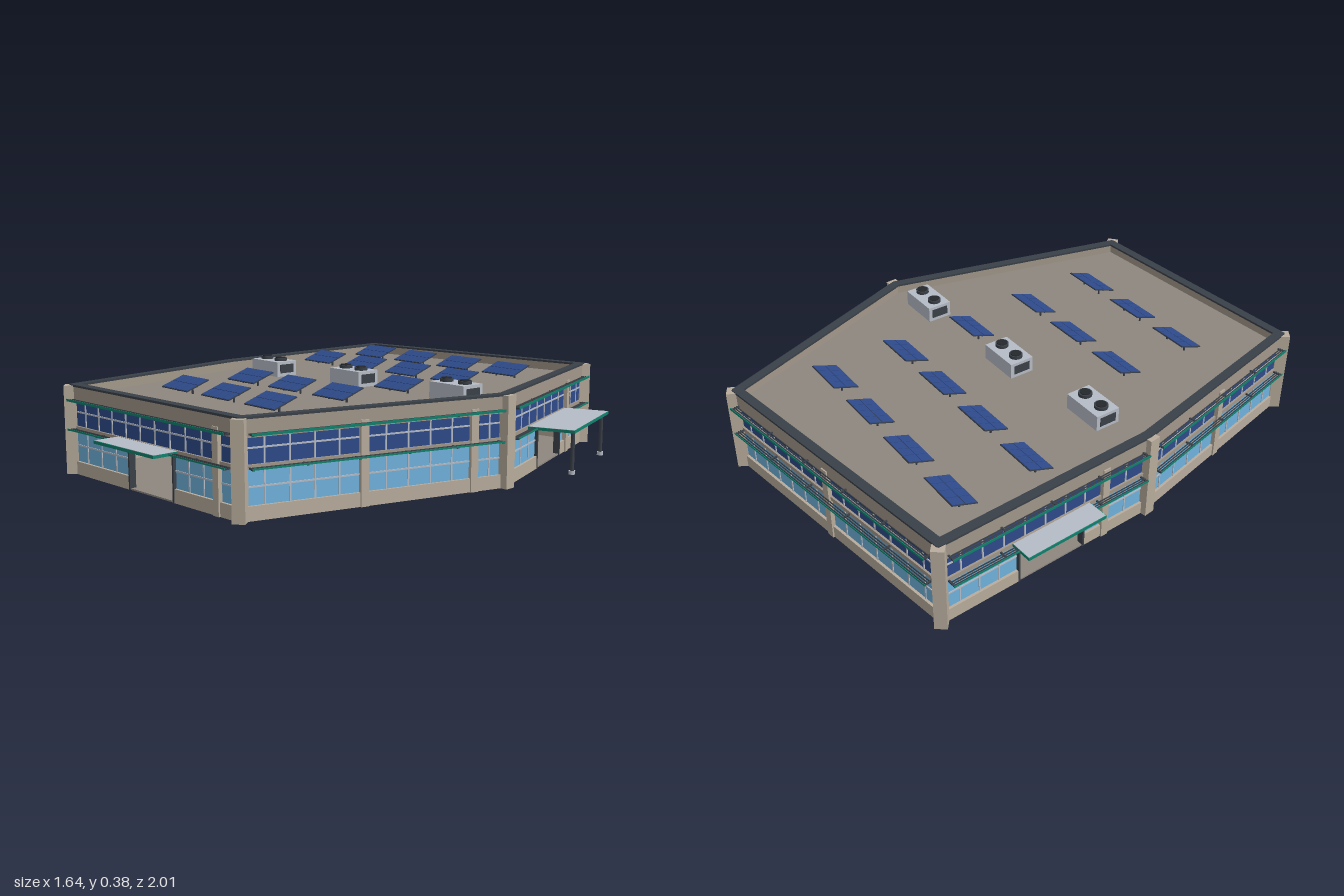
import * as THREE from 'three';

const mat = (name, color) => {
  const m = new THREE.MeshStandardMaterial({ color });
  m.name = name;
  return m;
};

export function createModel() {
  const M = {
    stone: mat('beige stone', 0xb8ac9c),
    wall: mat('wall taupe', 0xa2978a),
    roof: mat('roof grey', 0x8d877f),
    cap: mat('dark metal', 0x3a4048),
    sky: mat('light glass', 0x6fb2dc),
    navy: mat('dark glass', 0x2e4a8a),
    teal: mat('teal trim', 0x11806c),
    silver: mat('silver metal', 0xb6bcc6),
    solar: mat('solar cell blue', 0x2a4478),
    black: mat('fan black', 0x24282c),
  };
  const model = new THREE.Group();
  model.name = 'officeBuilding';

  const group = (parent, name) => {
    const g = new THREE.Group();
    g.name = name;
    parent.add(g);
    return g;
  };
  const add = (parent, name, geo, m, x, y, z) => {
    const mesh = new THREE.Mesh(geo, m);
    mesh.name = name;
    mesh.position.set(x, y, z);
    parent.add(mesh);
    return mesh;
  };
  const box = (parent, name, m, w, h, d, x, y, z) =>
    add(parent, name, new THREE.BoxGeometry(w, h, d), m, x, y, z);
  // box given by its ranges along the wall (u), up (y) and outward (z)
  const span = (parent, name, m, u0, u1, y0, y1, z0, z1) =>
    box(parent, name, m, u1 - u0, y1 - y0, z1 - z0, (u0 + u1) / 2, (y0 + y1) / 2, (z0 + z1) / 2);
  const post = (parent, name, m, r, y0, y1, x, z, sides = 12) =>
    add(parent, name, new THREE.CylinderGeometry(r, r, y1 - y0, sides), m, x, (y0 + y1) / 2, z);

  // Plan corners, counter-clockwise from front left of the plan
  const corners = [[-0.635, 0.885], [0.365, 0.925], [0.708, -0.045],
    [0.452, -0.965], [-0.705, -0.905], [-0.75, 0]];

  // Floor and roof slabs
  const slab = (name, m, y, h) => {
    const shape = new THREE.Shape(corners.map(([x, z]) => new THREE.Vector2(x, -z)));
    const geo = new THREE.ExtrudeGeometry(shape, { depth: h, bevelEnabled: false });
    geo.rotateX(-Math.PI / 2);
    add(model, name, geo, m, 0, y, 0);
  };
  slab('floorSlab', M.roof, 0, 0.006);
  slab('roofSlab', M.roof, 0.28, 0.022);

  // One facade: piers at distances u, optional doorway and canopy
  const walls = [
    { piers: [0.885], door: [0.38, 0.645], canopy: [0.49, 0.36, 0.1] },
    { piers: [0.45, 0.89] },
    { piers: [0.72], door: [0.35, 0.635], canopy: [0.476, 0.47, 0.181], posts: [0.32, 0.715] },
    { piers: [0.565] },
    { piers: [0.7], door: [0.32, 0.605], canopy: [0.462, 0.335, 0.087] },
    { piers: [0.45] },
  ];

  // A glazed band with frame bars between u0 and u1
  const glazing = (g, name, m, u0, u1, y0, y1, bar) => {
    span(g, name, m, u0, u1, y0, y1, -0.016, -0.008);
    const n = Math.max(1, Math.round((u1 - u0) / 0.085));
    for (let i = 0; i <= n; i++) {
      const u = u0 + ((u1 - u0) * i) / n;
      span(g, 'mullion', M.silver, u - 0.003, u + 0.003, y0, y1, -0.018, -0.005);
    }
    span(g, 'transom', M.silver, u0, u1, bar - 0.003, bar + 0.003, -0.018, -0.005);
  };

  const sunshade = (g, L, y, tealHeight) => {
    const s = group(g, 'sunshade');
    for (const z of [0.012, 0.021, 0.03]) {
      span(s, 'shadeBlade', M.cap, 0.03, L - 0.03, y - 0.003, y + 0.001, z - 0.0015, z + 0.0015);
    }
    span(s, 'shadeFascia', M.teal, 0.03, L - 0.03, y - tealHeight / 2, y + tealHeight / 2, 0.035, 0.038);
    const n = Math.round(L / 0.22);
    for (let i = 0; i <= n; i++) {
      const u = 0.035 + ((L - 0.07) * i) / n;
      span(s, 'shadeBracket', M.cap, u - 0.003, u + 0.003, y - 0.006, y, 0, 0.036);
    }
  };

  walls.forEach((w, i) => {
    const [ax, az] = corners[i];
    const [bx, bz] = corners[(i + 1) % corners.length];
    const L = Math.hypot(bx - ax, bz - az);
    const g = group(model, 'facade' + (i + 1));
    g.position.set(ax, 0, az);
    g.rotation.y = Math.atan2(az - bz, bx - ax);

    // Parapet, spandrel and roof edge cap
    span(g, 'parapet', M.wall, 0, L, 0.275, 0.337, -0.026, 0.003);
    span(g, 'parapetCap', M.cap, 0, L, 0.336, 0.344, -0.032, 0.004);
    span(g, 'spandrel', M.wall, 0, L, 0.17, 0.186, -0.022, 0);

    // Upper glazing between piers
    const stops = [0, ...w.piers, L];
    for (let k = 0; k < stops.length - 1; k++) {
      glazing(g, 'upperGlass', M.navy, stops[k], stops[k + 1], 0.186, 0.275, 0.24);
    }
    // Lower glazing and plinth, broken by the doorway
    const lower = [...stops, ...(w.door || [])].sort((a, b) => a - b);
    for (let k = 0; k < lower.length - 1; k++) {
      const [u0, u1] = [lower[k], lower[k + 1]];
      if (w.door && u0 === w.door[0]) continue;
      glazing(g, 'lowerGlass', M.sky, u0, u1, 0.05, 0.17, 0.112);
      span(g, 'plinth', M.stone, u0, u1, 0, 0.05, -0.022, 0.002);
    }
    for (const u of w.piers) {
      span(g, 'pier', M.stone, u - 0.015, u + 0.015, 0, 0.3, -0.024, 0.008);
    }
    sunshade(g, L, 0.29, 0.009);
    sunshade(g, L, 0.178, 0.006);

    // Doorway jambs and canopy
    if (w.door) {
      for (const u of w.door) span(g, 'doorJamb', M.cap, u - 0.004, u + 0.004, 0, 0.17, -0.022, 0.004);
    }
    if (w.canopy) {
      const [u, len, out] = w.canopy;
      const c = group(g, 'canopy');
      span(c, 'canopyRoof', M.silver, u - len / 2, u + len / 2, 0.174, 0.185, 0, out - 0.003);
      span(c, 'canopyFascia', M.teal, u - len / 2, u + len / 2, 0.173, 0.184, out - 0.003, out);
      for (const s of [-1, 1]) {
        const e = u + (s * len) / 2;
        span(c, 'canopySideTrim', M.teal, e - 0.0015, e + 0.0015, 0.173, 0.184, 0, out);
      }
      for (const p of w.posts || []) {
        post(c, 'canopyPost', M.cap, 0.008, 0, 0.175, p, out - 0.03);
        post(c, 'postFoot', M.silver, 0.013, 0, 0.014, p, out - 0.03);
      }
    }

    // Corner pillar, turned halfway between its two facades
    const [px, pz] = corners[(i + corners.length - 1) % corners.length];
    const turn = Math.atan2(pz - az, ax - px);
    let diff = g.rotation.y - turn;
    diff = Math.atan2(Math.sin(diff), Math.cos(diff));
    const pillar = box(model, 'cornerPillar', M.stone, 0.045, 0.34, 0.045, ax, 0.17, az);
    pillar.rotation.y = turn + diff / 2;
  });

  // Tilted solar panel on a small stand
  const solarPanel = (x, z) => {
    const g = group(model, 'solarPanel');
    g.position.set(x, 0.302, z);
    g.rotation.y = -0.1;
    const t = group(g, 'panelTop');
    t.position.y = 0.034;
    t.rotation.x = 0.34;
    box(t, 'panelFrame', M.cap, 0.174, 0.004, 0.106, 0, 0, 0);
    for (let i = 0; i < 4; i++) {
      for (let j = 0; j < 2; j++) {
        box(t, 'solarCells', M.navy, 0.041, 0.002, 0.05, (i - 1.5) * 0.0432, 0.0026, (j - 0.5) * 0.0525);
      }
    }
    box(t, 'panelRail', M.solar, 0.16, 0.004, 0.006, 0, -0.004, 0);
    for (const s of [-1, 1]) post(g, 'panelLeg', M.cap, 0.004, 0, 0.032, s * 0.05, 0, 8);
  };
  const columnsByRow = [[0, 1, 2, 3], [0, 1, 2, 3], [3], [1, 2, 3], [1, 2, 3]];
  columnsByRow.forEach((cols, r) => cols.forEach((c) =>
    solarPanel(-0.515 + 0.267 * c - 0.03 * r, -0.705 + 0.0265 * c + 0.307 * r)));

  // Rooftop cooling units with two fans each
  for (const [x, z] of [[-0.488, -0.028], [-0.04, -0.043], [0.488, -0.028]]) {
    const g = group(model, 'coolingUnit');
    g.position.set(x, 0.302, z);
    g.rotation.y = -0.1;
    box(g, 'unitBody', M.silver, 0.174, 0.062, 0.1, 0, 0.031, 0);
    for (const s of [-1, 1]) {
      post(g, 'fanHousing', M.cap, 0.026, 0.062, 0.074, s * 0.046, 0, 20);
      post(g, 'fan', M.black, 0.02, 0.074, 0.077, s * 0.046, 0, 20);
      box(g, 'sideGrille', M.cap, 0.004, 0.036, 0.07, s * 0.087, 0.032, 0);
    }
  }
  return model;
}
